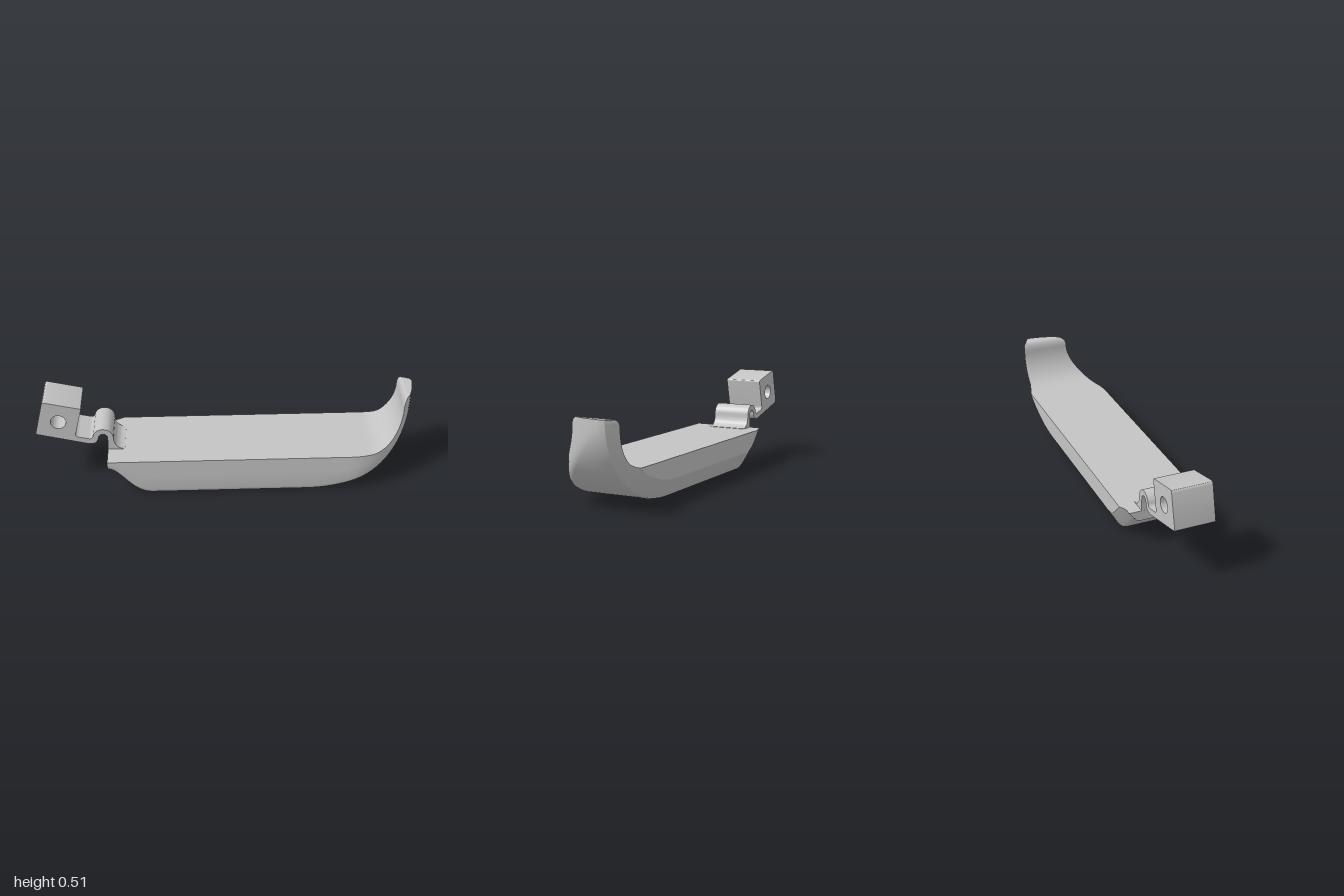
import * as THREE from 'three';
import { toCreasedNormals } from 'three/addons/utils/BufferGeometryUtils.js';

const gray = new THREE.MeshStandardMaterial({ color: 0xc4c4c4 });
gray.name = 'plain gray';

// Front outline seen from above: straight, then a quarter circle to the tip
const frontZ = x => x < 0.65 ? 0.21 : -0.14 + Math.sqrt(Math.max(0, 0.1225 - (x - 0.65) ** 2));

// How far a rounded corner of radius r has come in at height h above its start
const roundIn = (h, r) => r - Math.sqrt(Math.max(0, r * r - Math.min(h, r) ** 2));

// Pairs of outer (underside) and inner (top side) points along the body
function bodyStations() {
  const list = [];
  const heel = new THREE.CubicBezierCurve(
    new THREE.Vector2(-0.63, 0.155), new THREE.Vector2(-0.56, 0.155),
    new THREE.Vector2(-0.51, 0), new THREE.Vector2(-0.4, 0));
  for (const p of heel.getPoints(16)) list.push([p, new THREE.Vector2(p.x, 0.21)]);
  for (const x of [-0.2, 0, 0.2]) list.push([new THREE.Vector2(x, 0), new THREE.Vector2(x, 0.21)]);

  const bend = 0.614, lip = 1.45, end = Math.PI / 2;
  const angles = [];
  for (let i = 0; i < 12; i++) angles.push(bend * i / 12);
  for (let i = 0; i < 24; i++) angles.push(bend + (lip - bend) * i / 24);
  for (let i = 0; i <= 8; i++) angles.push(lip + (end - lip) * i / 8);
  for (const a of angles) {
    const outer = new THREE.Vector2(0.42 + 0.58 * Math.sin(a), 0.46 * (1 - Math.cos(a)));
    const inner = new THREE.Vector2(outer.x, 0.21);
    if (a >= lip) {
      const q = (a - lip) / (end - lip) * end;
      inner.set(0.955 - 0.025 * Math.cos(q), 0.41 + 0.05 * Math.sin(q));
    } else if (a >= bend) {
      const q = (a - bend) / (lip - bend) * end;
      inner.set(0.755 + 0.175 * Math.sin(q), 0.41 - 0.2 * Math.cos(q));
    }
    list.push([outer, inner]);
  }
  return list;
}

// One cross-section: front wall, rounded lower edge, flat underside, back bevel
function section([outer, inner]) {
  const t = outer.distanceTo(inner);
  const bevelTop = Math.min(t * 0.97, 0.105);
  const slope = Math.max(0.584, 0.032 / (t - 0.016));
  const bevelZ = d => -Math.min(0.21, 0.158 + slope * (d - 0.016));
  const front = [[t, 0], [(t + 0.03) / 2, 0], [0.03, 0], [0.015, 0.004], [0.009, 0.009], [0.004, 0.015], [0, 0.03]];
  const back = [[0, -0.13], [0.005, -0.148], [0.016, -0.158], [bevelTop, bevelZ(bevelTop)], [t, bevelZ(t)]];
  const at = d => outer.clone().lerp(inner, d / t);
  return [
    ...front.map(([d, inset]) => {
      const p = at(d);
      let z = frontZ(p.x) - inset;
      if (p.y > 0.415) z = Math.min(z, 0.07 - roundIn(p.y - 0.415, 0.045));
      return [p.x, p.y, Math.max(z, -0.125)];
    }),
    ...back.map(([d, z]) => {
      const p = at(d);
      return [p.x, p.y, p.y > 0.435 ? Math.max(z, -0.19 + roundIn(p.y - 0.435, 0.025)) : z];
    }),
  ];
}

function bodyGeometry() {
  const rings = bodyStations().map(section);
  const n = rings[0].length;
  const pos = [], index = [];
  rings.forEach(r => r.forEach(p => pos.push(...p)));
  for (let i = 0; i < rings.length - 1; i++) {
    for (let j = 0; j < n; j++) {
      const k = (j + 1) % n;
      const a = i * n + j, b = i * n + k, c = a + n, d = b + n;
      index.push(a, b, c, b, d, c);
    }
  }
  // End faces
  for (const i of [0, rings.length - 1]) {
    const centre = pos.length / 3;
    for (let axis = 0; axis < 3; axis++) pos.push(rings[i].reduce((s, p) => s + p[axis], 0) / n);
    for (let j = 0; j < n; j++) {
      const a = i * n + j, b = i * n + (j + 1) % n;
      if (i === 0) index.push(centre, b, a);
      else index.push(centre, a, b);
    }
  }
  const g = new THREE.BufferGeometry();
  g.setAttribute('position', new THREE.Float32BufferAttribute(pos, 3));
  g.setIndex(index);
  return toCreasedNormals(g, 0.5);
}

// Pierced block, thin strip and curled spring as one outline
function hingeGeometry() {
  const s = new THREE.Shape();
  s.moveTo(-0.993, 0.314);
  s.lineTo(-0.74, 0.251);
  s.bezierCurveTo(-0.695, 0.24, -0.682, 0.258, -0.677, 0.282);
  s.absarc(-0.652, 0.282, 0.024, Math.PI, 0, true);
  s.lineTo(-0.63, 0.2);
  s.lineTo(-0.54, 0.2);
  s.lineTo(-0.54, 0.212);
  s.quadraticCurveTo(-0.598, 0.215, -0.598, 0.282);
  s.absarc(-0.652, 0.282, 0.054, 0, Math.PI * 0.93, false);
  s.quadraticCurveTo(-0.71, 0.275, -0.73, 0.281);
  s.lineTo(-0.78, 0.292);
  s.quadraticCurveTo(-0.797, 0.296, -0.793, 0.312);
  s.lineTo(-0.757, 0.457);
  s.quadraticCurveTo(-0.755, 0.466, -0.764, 0.468);
  s.lineTo(-0.94, 0.509);
  s.quadraticCurveTo(-0.953, 0.511, -0.956, 0.499);
  s.lineTo(-0.999, 0.325);
  s.quadraticCurveTo(-1.001, 0.316, -0.993, 0.314);
  const hole = new THREE.Path();
  hole.absarc(-0.878, 0.389, 0.04, 0, Math.PI * 2, true);
  s.holes.push(hole);
  const g = new THREE.ExtrudeGeometry(s, { depth: 0.21, bevelEnabled: false, curveSegments: 16 });
  g.translate(0, 0, -0.123);
  return toCreasedNormals(g, 0.5);
}

export function createModel() {
  const model = new THREE.Group();
  model.name = 'curvedLever';
  const add = (name, geometry) => {
    const mesh = new THREE.Mesh(geometry, gray);
    mesh.name = name;
    model.add(mesh);
  };
  add('leverBody', bodyGeometry());
  add('springHinge', hingeGeometry());
  return model;
}
